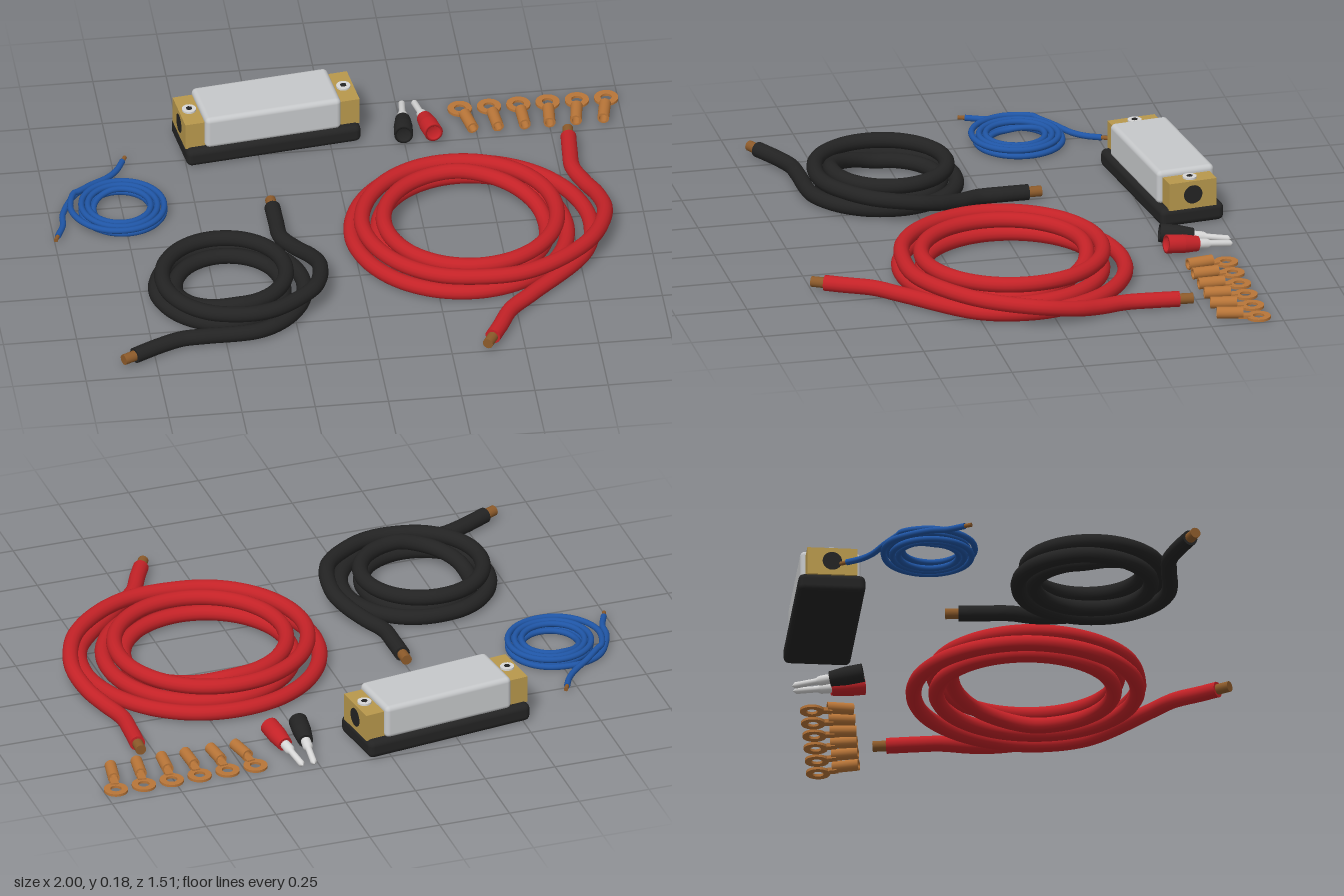
import * as THREE from 'three';
import { RoundedBoxGeometry } from 'three/addons/geometries/RoundedBoxGeometry.js';

const mat = (name, color) => Object.assign(new THREE.MeshStandardMaterial({ color }), { name });
const V = (p) => new THREE.Vector3(...p);

export function createModel() {
  const M = {
    red: mat('red insulation', 0xc42227),
    black: mat('black plastic', 0x232323),
    blue: mat('blue insulation', 0x1f55a5),
    strand: mat('bare copper', 0x8c5a2a),
    copper: mat('terminal copper', 0xb87538),
    brass: mat('brass', 0xb8984c),
    cover: mat('grey cover', 0xc6c8ca),
    steel: mat('steel', 0xd6d6d6),
  };
  const model = new THREE.Group();
  model.name = 'wiringKit';

  const add = (parent, name, geo, material, x = 0, y = 0, z = 0) => {
    const mesh = new THREE.Mesh(geo, material);
    mesh.name = name;
    mesh.position.set(x, y, z);
    parent.add(mesh);
    return mesh;
  };

  // Solid round rod between two points
  const rod = (parent, name, a, b, r, material) => {
    const dir = b.clone().sub(a);
    const mesh = add(parent, name, new THREE.CylinderGeometry(r, r, dir.length(), 16), material);
    mesh.position.copy(a).add(b).multiplyScalar(0.5);
    mesh.quaternion.setFromUnitVectors(new THREE.Vector3(0, 1, 0), dir.normalize());
  };

  // Coiled cable: keys are [angle, radius, height]; tails are loose points before and after
  const cable = (name, material, r, bare, [cx, cz], start, keys, end) => {
    const group = new THREE.Group();
    group.name = name;
    model.add(group);
    const pts = start.map(V);
    for (let i = 0; i < keys.length - 1; i++) {
      const a = keys[i], b = keys[i + 1];
      const n = Math.max(1, Math.round(Math.abs(b[0] - a[0]) / 22.5));
      for (let k = 0; k < n; k++) {
        const [deg, rad, y] = a.map((v, j) => v + (b[j] - v) * k / n);
        const t = THREE.MathUtils.degToRad(deg);
        pts.push(V([cx + rad * Math.cos(t), y, cz + rad * Math.sin(t)]));
      }
    }
    pts.push(...end.map(V));
    const curve = new THREE.CatmullRomCurve3(pts, false, 'centripetal');
    add(group, name + 'Insulation', new THREE.TubeGeometry(curve, 420, r, 14), material);
    for (const u of [0, 1]) {
      const tip = curve.getPointAt(u);
      const out = curve.getTangentAt(u).multiplyScalar(u ? 1 : -1);
      rod(group, name + 'EndCap', tip.clone().addScaledVector(out, -0.004),
        tip.clone().addScaledVector(out, 0.001), r, material);
      rod(group, name + 'BareEnd', tip, tip.clone().addScaledVector(out, bare), r * 0.68, M.strand);
    }
  };

  const lo = 0.03, hi = 0.087;
  cable('redCable', M.red, 0.027, 0.048, [0.39, 0.07],
    [[0.8, lo, -0.432], [0.793, lo, -0.34], [0.79, lo, -0.25], [0.82, 0.034, -0.15], [0.85, 0.047, -0.06]],
    [[0, 0.47, 0.068], [22.5, 0.44, 0.082], [45, 0.405, hi], [90, 0.362, hi], [180, 0.36, hi], [270, 0.325, hi],
      [360, 0.305, hi], [540, 0.285, hi], [630, 0.268, hi], [720, 0.268, lo], [1080, 0.335, lo],
      [1260, 0.393, lo], [1350, 0.395, lo], [1440, 0.42, lo], [1490, 0.42, lo]],
    [[0.56, lo, 0.47], [0.475, lo, 0.555], [0.428, lo, 0.645], [0.395, lo, 0.705]]);

  cable('blackCable', M.black, 0.027, 0.046, [-0.457, 0.3],
    [[-0.248, lo, -0.145], [-0.247, lo, -0.06], [-0.243, lo, 0.03], [-0.205, 0.036, 0.105], [-0.16, 0.055, 0.19]],
    [[-5, 0.318, 0.072], [22.5, 0.305, hi], [55, 0.27, hi], [90, 0.247, hi], [180, 0.225, hi], [270, 0.207, hi],
      [360, 0.197, hi], [450, 0.19, hi], [540, 0.18, lo], [720, 0.185, lo], [900, 0.245, lo],
      [990, 0.234, lo], [1080, 0.257, lo], [1180, 0.287, lo]],
    [[-0.57, lo, 0.58], [-0.65, lo, 0.585], [-0.73, lo, 0.615], [-0.822, lo, 0.662]]);

  cable('blueCable', M.blue, 0.0105, 0.026, [-0.755, -0.222],
    [[-0.714, 0.012, -0.505], [-0.74, 0.012, -0.455], [-0.775, 0.014, -0.415], [-0.835, 0.022, -0.37], [-0.885, 0.03, -0.325]],
    [[210, 0.174, 0.033], [180, 0.172, 0.033], [90, 0.152, 0.033], [-180, 0.134, 0.033], [-540, 0.112, 0.033],
      [-820, 0.093, 0.033], [-910, 0.093, 0.012], [-1260, 0.112, 0.012], [-1620, 0.134, 0.012],
      [-1890, 0.155, 0.012], [-1965, 0.19, 0.012]],
    [[-0.954, 0.012, -0.22], [-0.962, 0.012, -0.155], [-0.987, 0.012, -0.095]]);

  // Fuse holder, turned slightly on the ground
  const holder = new THREE.Group();
  holder.name = 'fuseHolder';
  holder.position.set(-0.21, 0, -0.602);
  holder.rotation.y = 0.129;
  model.add(holder);
  add(holder, 'holderBase', new RoundedBoxGeometry(0.61, 0.064, 0.228, 3, 0.02), M.black, 0, 0.034, 0);
  add(holder, 'holderCover', new RoundedBoxGeometry(0.475, 0.12, 0.205, 3, 0.017), M.cover, 0, 0.12, 0);
  for (const s of [-1, 1]) {
    add(holder, 'clampBlock', new THREE.BoxGeometry(0.08, 0.098, 0.17), M.brass, s * 0.265, 0.111, 0);
    add(holder, 'cableHole', new THREE.CylinderGeometry(0.033, 0.033, 0.004, 28), M.black, s * 0.304, 0.112, 0)
      .rotation.z = Math.PI / 2;
    add(holder, 'clampScrew', new THREE.CylinderGeometry(0.024, 0.024, 0.008, 24), M.steel, s * 0.27, 0.163, 0);
    add(holder, 'screwSocket', new THREE.CylinderGeometry(0.011, 0.011, 0.004, 6), M.black, s * 0.27, 0.1665, 0);
  }

  // Pin connectors, tips resting on the ground
  const lathe = (pts) => new THREE.LatheGeometry(pts.map((p) => new THREE.Vector2(...p)), 20);
  for (const [name, x, yaw, material] of [['blackPin', 0.245, -0.1, M.black], ['redPin', 0.348, 0.16, M.red]]) {
    const pin = new THREE.Group();
    pin.name = name;
    pin.position.set(x, 0.046, -0.49);
    pin.rotation.set(-Math.PI / 2 - 0.14, 0, yaw, 'YXZ');
    pin.rotation.y = yaw;
    pin.rotation.z = 0;
    model.add(pin);
    add(pin, 'pinSleeve', lathe([[0, 0.012], [0.024, 0.012], [0.024, 0], [0.032, 0], [0.032, 0.06],
      [0.032, 0.06], [0.026, 0.115], [0.026, 0.115], [0, 0.115]]), material);
    add(pin, 'pinTip', lathe([[0.017, 0.11], [0.017, 0.15], [0.011, 0.162], [0.011, 0.235], [0, 0.246]]), M.steel);
  }

  // Ring terminals, fanned out in a row
  const ring = new THREE.Shape().absarc(0, 0, 0.041, 0, Math.PI * 2);
  ring.holes.push(new THREE.Path().absarc(0, 0, 0.019, 0, Math.PI * 2, true));
  const ringGeo = new THREE.ExtrudeGeometry(ring, { depth: 0.009, bevelEnabled: false, curveSegments: 20 });
  ringGeo.rotateX(-Math.PI / 2);
  const barrelGeo = lathe([[0.014, 0], [0.02, 0], [0.02, 0], [0.02, 0.09], [0.02, 0.09], [0.014, 0.09], [0.014, 0.09], [0.014, 0]]);
  barrelGeo.rotateX(Math.PI / 2);
  const yaws = [0.19, 0.09, 0.03, -0.08, -0.15, -0.2];
  yaws.forEach((yaw, i) => {
    const lug = new THREE.Group();
    lug.name = 'ringTerminal';
    lug.position.set(0.46 + i * 0.1, 0.003, -0.672);
    lug.rotation.y = yaw;
    model.add(lug);
    add(lug, 'terminalRing', ringGeo, M.copper);
    add(lug, 'terminalNeck', new THREE.BoxGeometry(0.028, 0.012, 0.04), M.copper, 0, 0.008, 0.048);
    add(lug, 'terminalBarrel', barrelGeo, M.copper, 0, 0.02, 0.052);
  });
  return model;
}
